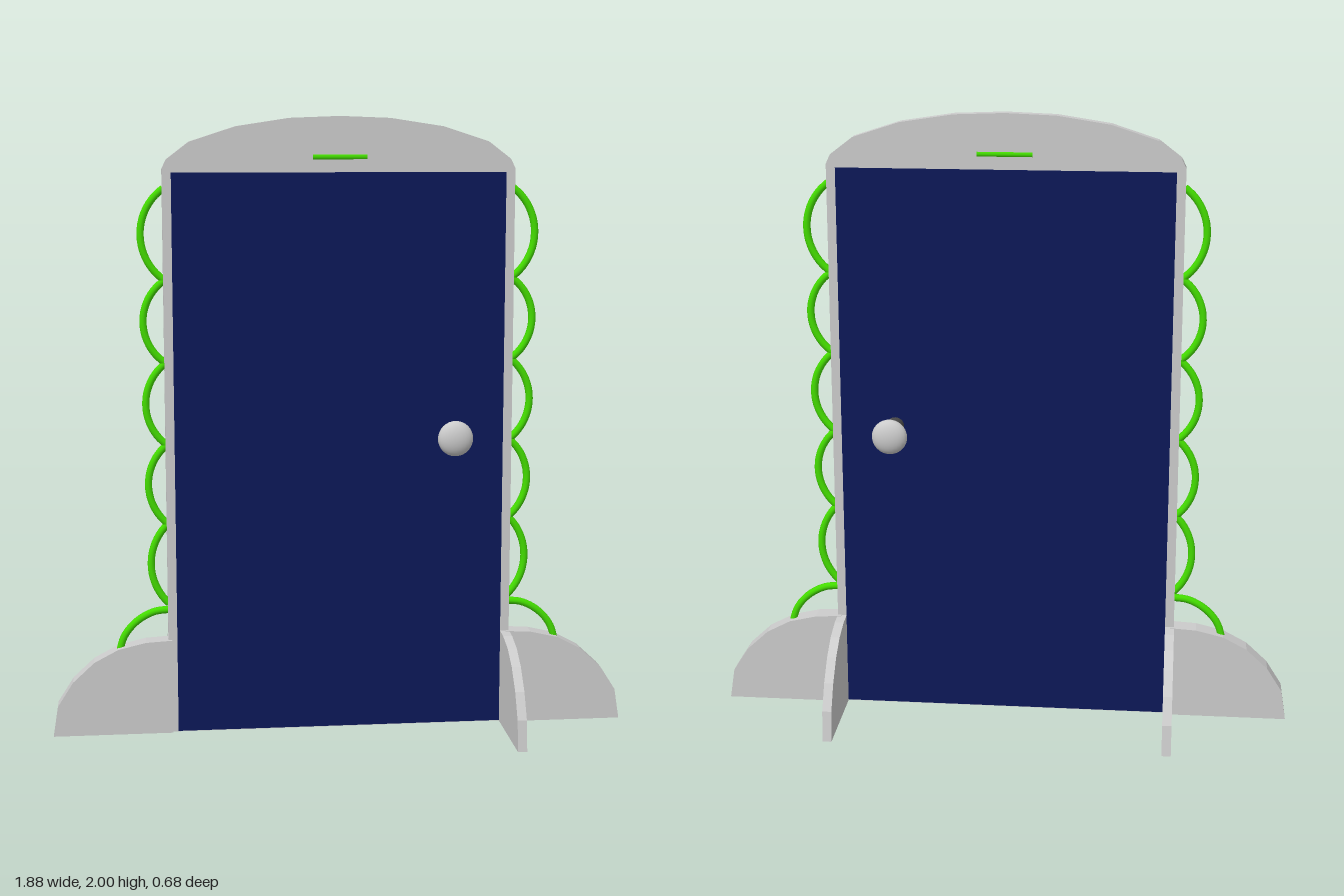
import * as THREE from 'three';

const grey = new THREE.MeshStandardMaterial({ color: 0xcccccc });
const blue = new THREE.MeshStandardMaterial({ color: 0x0c1858 });
const green = new THREE.MeshStandardMaterial({ color: 0x44dd00 });
const dark = new THREE.MeshStandardMaterial({ color: 0x484848 });

function add(parent, name, geometry, material, x = 0, y = 0, z = 0) {
  const mesh = new THREE.Mesh(geometry, material);
  mesh.name = name;
  mesh.position.set(x, y, z);
  parent.add(mesh);
  return mesh;
}

// Flat plate cut from an outline, centred on its thickness
function plate(points, depth) {
  const shape = new THREE.Shape(points.map(([x, y]) => new THREE.Vector2(x, y)));
  return new THREE.ExtrudeGeometry(shape, { depth, bevelEnabled: false }).translate(0, 0, -depth / 2);
}

// Quarter-round support, w wide at the floor and 0.31 high
function quarter(w) {
  const profile = [[1, 0], [0.96, 0.1], [0.83, 0.18], [0.65, 0.245], [0.45, 0.286], [0.22, 0.307], [0, 0.312]];
  return [[0, 0], ...profile.map(([t, y]) => [t * w, y])];
}

// Bulging arc of tube between two heights on the door's edge
function loopTube(top, bottom, bulge) {
  const h = (top - bottom) / 2;
  const r = (h * h + bulge * bulge) / (2 * bulge);
  const a = Math.asin(h / r);
  const pts = [];
  for (let i = 0; i <= 10; i++) {
    const t = a - (2 * a * i) / 10;
    pts.push(new THREE.Vector3(0.56 + bulge - r + r * Math.cos(t), (top + bottom) / 2 + r * Math.sin(t), 0));
  }
  return new THREE.TubeGeometry(new THREE.CatmullRomCurve3(pts), 20, 0.012, 10);
}

export function createModel() {
  const model = new THREE.Group();
  model.name = 'door';

  // Frame with an arched head
  const arch = [[0.564, 1.835], [0.55, 1.865], [0.478, 1.92], [0.33, 1.968], [0.16, 1.994]];
  const outline = [[-0.564, 0], [0.564, 0], ...arch, [0, 2], ...arch.map(([x, y]) => [-x, y]).reverse()];
  add(model, 'frame', plate(outline, 0.04), grey);

  // Door panel, showing on both faces
  add(model, 'doorPanel', new THREE.BoxGeometry(1.07, 1.822, 0.043), blue, 0, 0.913, 0);

  // Lamp in the arch
  const lamp = add(model, 'lamp', new THREE.CylinderGeometry(0.014, 0.014, 0.174, 12).rotateZ(Math.PI / 2), green, 0, 1.872, 0);
  lamp.scale.z = 1.7;

  // Handle through the door
  const handle = new THREE.Group();
  handle.name = 'handle';
  handle.position.set(0.357, 0.983, 0);
  model.add(handle);
  add(handle, 'handleRod', new THREE.CylinderGeometry(0.029, 0.029, 0.28, 20).rotateX(Math.PI / 2), dark);
  for (const s of [1, -1]) {
    const knob = add(handle, 'knob', new THREE.SphereGeometry(0.057, 24, 16), grey, 0, 0, s * 0.146);
    knob.scale.z = 0.53;
  }

  // Side supports and tube garlands on each side
  const heights = [1.775, 1.485, 1.22, 0.955, 0.695, 0.43];
  for (const s of [1, -1]) {
    const side = new THREE.Group();
    side.name = s > 0 ? 'leftSide' : 'rightSide';
    side.rotation.y = s > 0 ? 0 : Math.PI;
    model.add(side);
    const foot = add(side, 'sideFoot', plate(quarter(0.39), 0.064), grey, 0.552, 0, 0);
    foot.name = 'sideFoot';
    for (let i = 0; i < 5; i++) {
      add(side, 'tubeLoop', loopTube(heights[i], heights[i + 1], 0.074 - i * 0.0045), green);
    }
    const tail = new THREE.CatmullRomCurve3([[0.555, 0.41], [0.61, 0.403], [0.665, 0.373], [0.706, 0.325], [0.727, 0.26]]
      .map(([x, y]) => new THREE.Vector3(x, y, 0)));
    add(side, 'tubeTail', new THREE.TubeGeometry(tail, 20, 0.012, 10), green);
  }

  // Cross fins: both ways at the left, only backward at the right
  for (const [x, dir] of [[0.55, 1], [0.55, -1], [-0.55, -1]]) {
    const fin = add(model, 'crossFin', plate(quarter(0.342), 0.03), grey, x, 0, 0);
    fin.rotation.y = -dir * Math.PI / 2;
  }
  return model;
}
